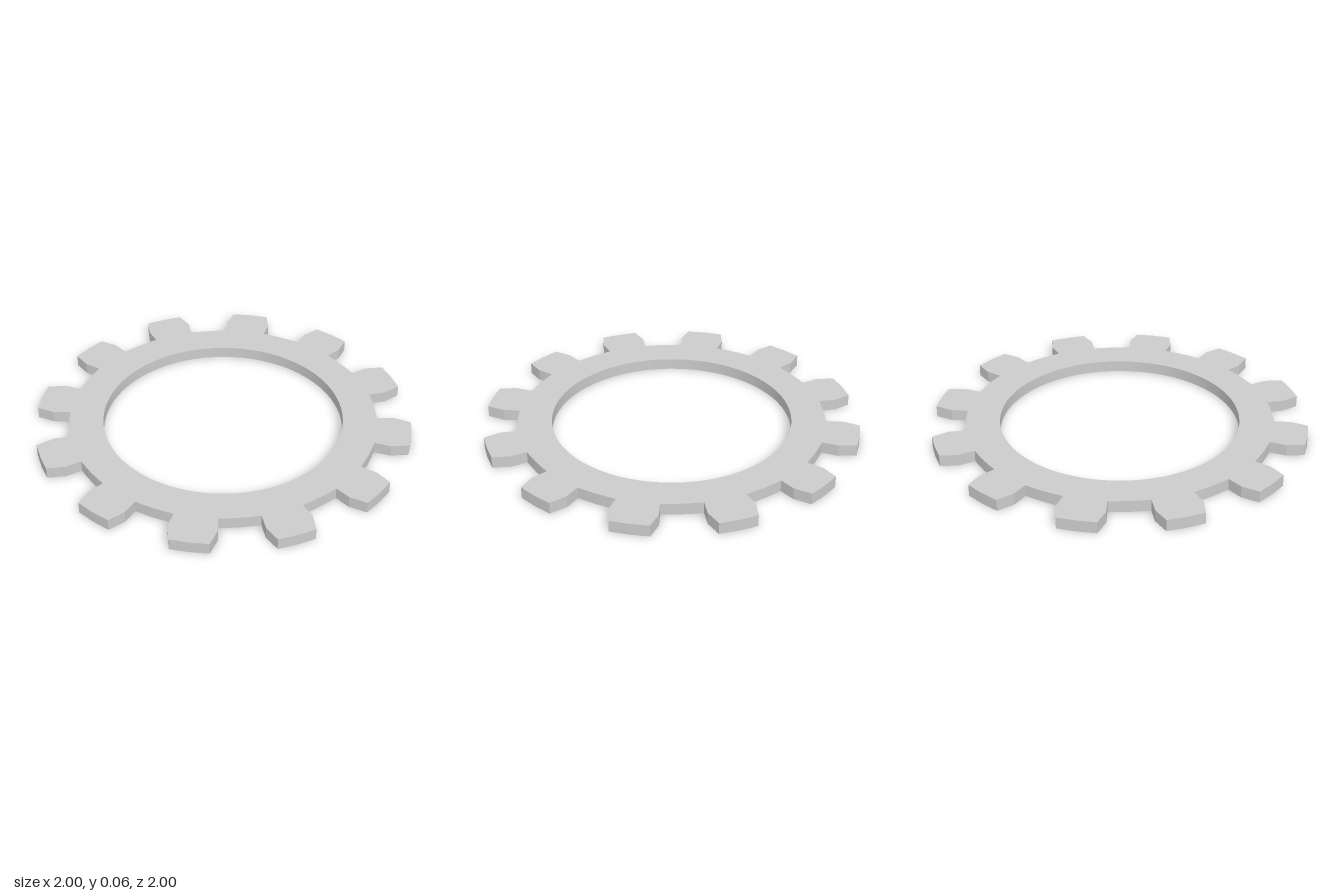
import * as THREE from 'three';
import { toCreasedNormals } from 'three/addons/utils/BufferGeometryUtils.js';

export function createModel() {
  const group = new THREE.Group();
  const teeth = 12, thickness = 0.063, boreRadius = 0.647;

  // One pitch of the outline: [angle from tooth centre in degrees, radius]
  const tooth = [
    [-7.6, 0.832], [-7.7, 0.922], [-5.7, 1.0133], [0, 1.0133],
    [5.7, 1.0133], [7.7, 0.922], [7.6, 0.832], [11.3, 0.83], [15, 0.83], [18.7, 0.83],
  ];
  const outline = [];
  for (let i = 0; i < teeth; i++) {
    for (const [deg, r] of tooth) {
      const a = THREE.MathUtils.degToRad(15 + (i * 360) / teeth + deg);
      outline.push(new THREE.Vector2(r * Math.cos(a), r * Math.sin(a)));
    }
  }

  // Flat toothed ring with a round bore
  const shape = new THREE.Shape(outline);
  shape.holes.push(new THREE.Path().absarc(0, 0, boreRadius, 0, Math.PI * 2, true));
  const geometry = new THREE.ExtrudeGeometry(shape, {
    depth: thickness, bevelEnabled: false, curveSegments: 48,
  });
  geometry.rotateX(-Math.PI / 2);

  const ring = new THREE.Mesh(
    toCreasedNormals(geometry, THREE.MathUtils.degToRad(10)),
    new THREE.MeshStandardMaterial({ color: 0xcccccc }),
  );
  ring.name = 'gearRing';
  group.add(ring);
  return group;
}
